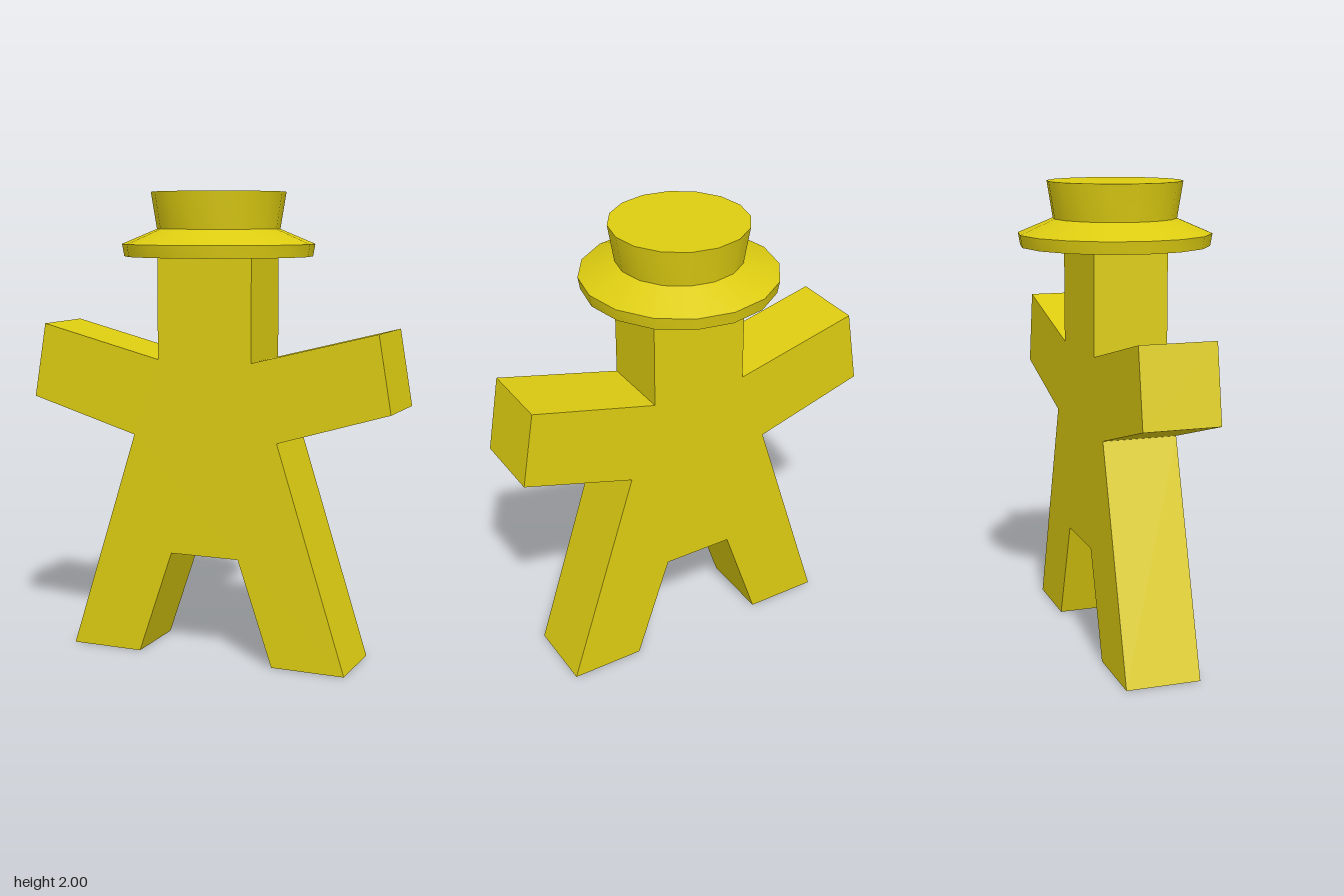
import * as THREE from 'three';
import { toCreasedNormals } from 'three/addons/utils/BufferGeometryUtils.js';

const SIDES = 16;
const DEPTH = 0.32;

export function createModel() {
  const group = new THREE.Group();
  group.name = 'figureWithHat';
  const material = new THREE.MeshStandardMaterial({ color: 0xddcc11 });

  // Flat figure: right half of the outline, from neck to crotch, then mirrored
  const half = [
    [0.213, 1.73], [0.213, 1.295],                 // head side
    [0.76, 1.433], [0.815, 1.11], [0.328, 0.965],  // arm
    [0.633, 0], [0.31, 0], [0.155, 0.455],         // leg
  ];
  const mirrored = half.map(([x, y]) => [-x, y]).reverse();
  const outline = [...half, ...mirrored].map(([x, y]) => new THREE.Vector2(x, y));
  const bodyGeometry = new THREE.ExtrudeGeometry(new THREE.Shape(outline), {
    depth: DEPTH,
    bevelEnabled: false,
  });
  bodyGeometry.translate(0, 0, -DEPTH / 2);
  const body = new THREE.Mesh(bodyGeometry, material);
  body.name = 'body';
  group.add(body);

  // Hat: brim edge, sloping brim, flared crown and flat top
  const profile = [
    [0, 1.73], [0.402, 1.73], [0.411, 1.782], [0.262, 1.845], [0.287, 2], [0, 2],
  ].map(([r, y]) => new THREE.Vector2(r, y));
  const hat = new THREE.Mesh(
    toCreasedNormals(new THREE.LatheGeometry(profile, SIDES), Math.PI / 6),
    material,
  );
  hat.name = 'hat';
  group.add(hat);

  return group;
}
